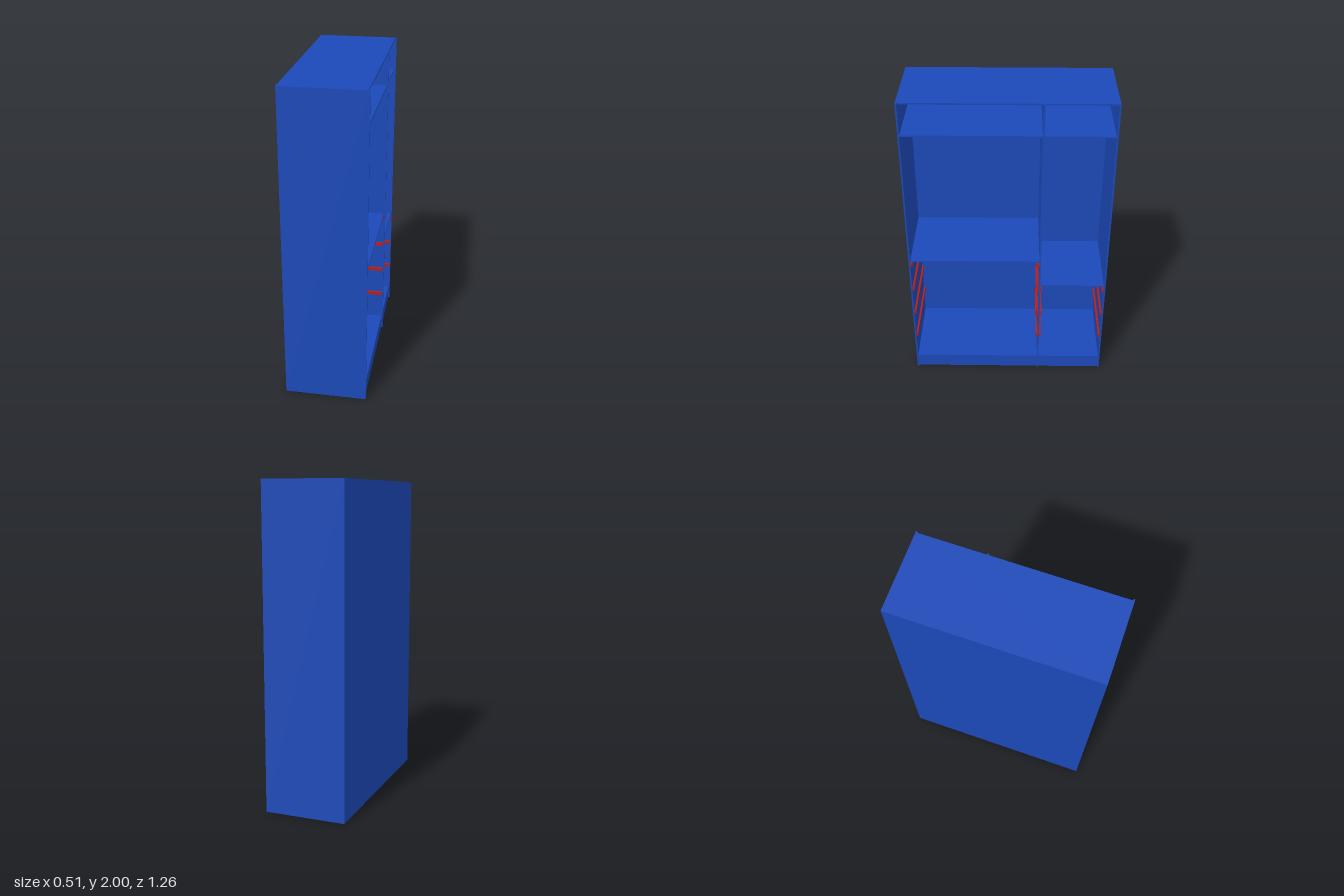
import * as THREE from 'three';

export function createModel() {
  const group = new THREE.Group();
  const blue = new THREE.MeshStandardMaterial({ color: 0x1c49b8 });
  const red = new THREE.MeshStandardMaterial({ color: 0xb02020 });

  // Box given by its minimum and maximum on each axis
  function box(name, material, [x0, x1], [y0, y1], [z0, z1]) {
    const mesh = new THREE.Mesh(new THREE.BoxGeometry(x1 - x0, y1 - y0, z1 - z0), material);
    mesh.position.set((x0 + x1) / 2, (y0 + y1) / 2, (z0 + z1) / 2);
    mesh.name = name;
    group.add(mesh);
  }

  // Cylinder lying along z
  function bar(name, radius, y, z0, z1) {
    const geometry = new THREE.CylinderGeometry(radius, radius, z1 - z0, 16).rotateX(Math.PI / 2);
    const mesh = new THREE.Mesh(geometry, red);
    mesh.position.set(0, y, (z0 + z1) / 2);
    mesh.name = name;
    group.add(mesh);
  }

  const t = 0.01; // panel thickness
  const W = 0.63; // half width along z
  const back = -0.256, front = 0.256, inner = 0.247;
  const depth = [back + 0.006, inner];
  const divider = [-0.21, -0.2];

  // Carcass: the upright panels stand slightly proud of the shelves
  box('frontSidePanel', blue, [back, front], [0, 2], [W - t, W]);
  box('rearSidePanel', blue, [back, front], [0, 2], [-W, -W + t]);
  box('divider', blue, [depth[0], front], [0.095, 1.99], divider);
  box('dividerTopEdge', blue, [inner, front], [1.99, 2], divider);
  box('dividerBaseEdge', blue, [inner, front], [0, 0.095], divider);
  box('topPanel', blue, [back, inner], [2 - t, 2], [-W + t, W - t]);
  box('backPanel', blue, [back, depth[0]], [0, 2 - t], [-W + t, W - t]);
  box('plinth', blue, [depth[0], inner], [0, 0.095], [-W + t, W - t]);

  // Each bay has shelves, a hanging rail and pairs of drawer runners
  const bays = [
    { name: 'wide', z: [divider[1], W - t], shelf: 0.9, runners: [0.285, 0.48, 0.675, 0.87] },
    { name: 'narrow', z: [-W + t, divider[0]], shelf: 0.71, runners: [0.285, 0.48, 0.675] },
  ];
  for (const { name, z: [z0, z1], shelf, runners } of bays) {
    for (const y of [shelf, 1.792]) {
      box(name + 'Shelf', blue, depth, [y - t / 2, y + t / 2], [z0, z1]);
    }
    bar(name + 'HangingRail', 0.006, 1.705, z0, z1);
    bar(name + 'RailSocket', 0.01, 1.705, z0, z0 + 0.012);
    bar(name + 'RailSocket', 0.01, 1.705, z1 - 0.012, z1);
    for (const y of runners) {
      box(name + 'Runner', red, depth, [y - 0.012, y + 0.012], [z0, z0 + 0.012]);
      box(name + 'Runner', red, depth, [y - 0.012, y + 0.012], [z1 - 0.012, z1]);
    }
  }
  return group;
}
